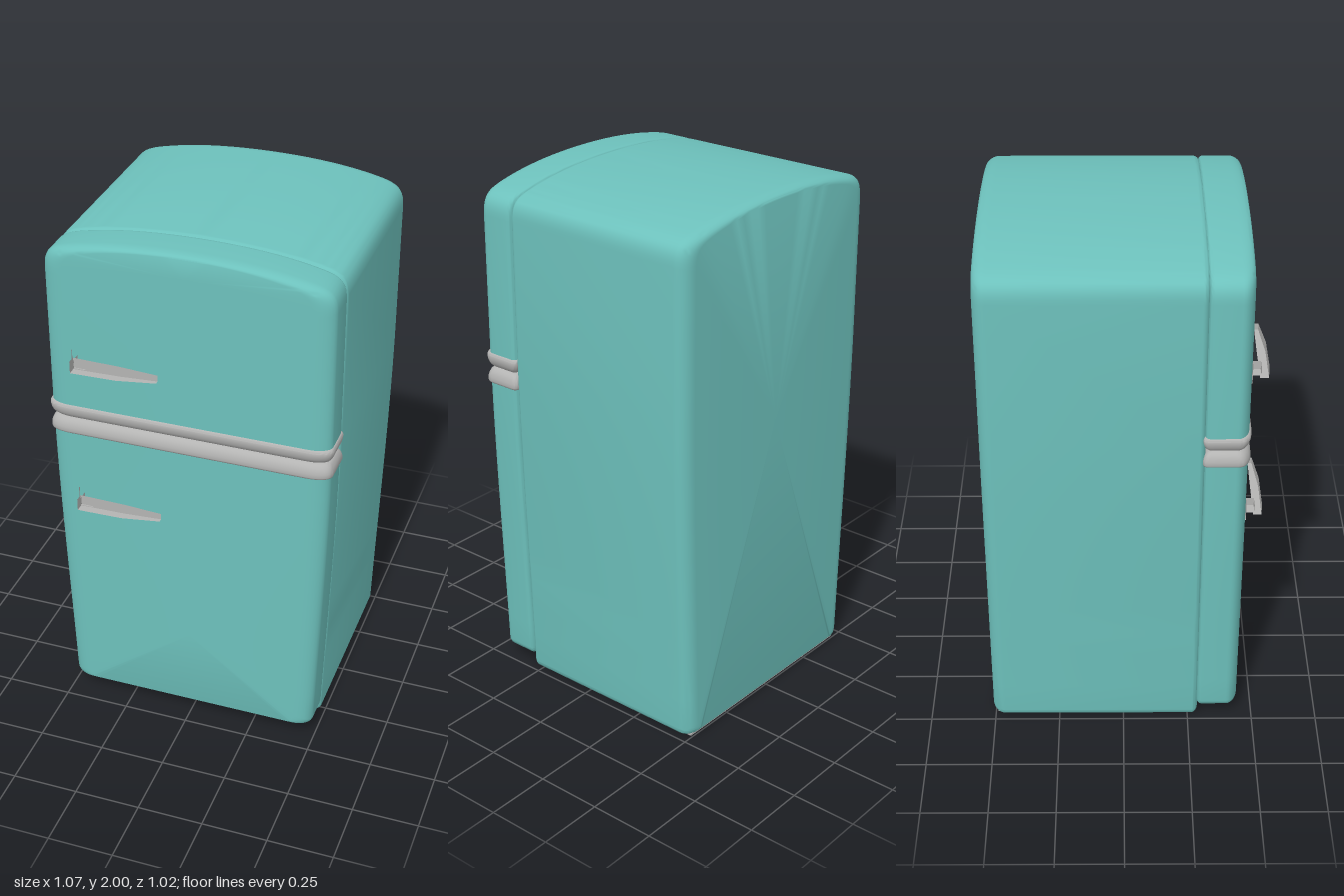
import * as THREE from 'three';
import { toCreasedNormals } from 'three/addons/utils/BufferGeometryUtils.js';

const V = (x, y, z) => new THREE.Vector3(x, y, z);

// Skins a row of equal-length rings and closes both ends with fans.
function loft(rings, crease = 0.7) {
  const n = rings[0].length, pos = [], idx = [];
  const centre = (ring) => ring.reduce((c, p) => c.add(p), V(0, 0, 0)).divideScalar(n);
  rings.forEach((ring) => ring.forEach((p) => pos.push(p.x, p.y, p.z)));
  const last = rings.length - 1;
  [rings[0], rings[last]].forEach((ring) => pos.push(...centre(ring).toArray()));
  const c0 = rings.length * n, c1 = c0 + 1;
  for (let i = 0; i < n; i++) {
    const j = (i + 1) % n;
    for (let k = 0; k < last; k++) {
      const a = k * n + i, b = k * n + j;
      idx.push(a, b, b + n, a, b + n, a + n);
    }
    idx.push(c0, j, i, c1, last * n + i, last * n + j);
  }
  const geo = new THREE.BufferGeometry();
  geo.setAttribute('position', new THREE.Float32BufferAttribute(pos, 3));
  geo.setIndex(idx);
  return toCreasedNormals(geo, crease);
}

// Mirrors the +x half of an outline, given from bottom to top.
function mirrored(shape) {
  const half = shape.getPoints(10);
  const other = half.filter((p) => p.x > 1e-4).reverse().map((p) => new THREE.Vector2(-p.x, p.y));
  return [...half, ...other];
}

// Front outline pushed back to front, with rounded edges at both ends.
// anchorY is the height that the rounding leaves in place.
function panel(shape, z0, z1, anchorY, back, front) {
  const outline = mirrored(shape), steps = 7, rings = [];
  const top = Math.max(...outline.map((p) => p.y)), bottom = Math.min(...outline.map((p) => p.y));
  const span = Math.max(top - anchorY, anchorY - bottom);
  const ring = (z, dx, dy) => rings.push(outline.map((p) =>
    V(p.x * (1 - dx / 0.525), anchorY + (p.y - anchorY) * (1 - dy / span), z)));
  for (let i = 0; i <= steps; i++) {
    const a = (i / steps) * Math.PI / 2, s = 1 - Math.sin(a);
    ring(z0 + back.z * (1 - Math.cos(a)), back.x * s, back.y * s);
  }
  for (let i = steps; i >= 0; i--) {
    const a = (i / steps) * Math.PI / 2, s = 1 - Math.sin(a);
    ring(z1 - front.z * (1 - Math.cos(a)), front.x * s, front.y * s);
  }
  return loft(rings);
}

// Shoulder and gently arched crown shared by the cabinet and upper door.
function crown(shape, w) {
  shape.lineTo(w, 1.86);
  shape.bezierCurveTo(w, 1.93, 0.5, 1.944, 0.43, 1.96);
  shape.bezierCurveTo(0.32, 1.985, 0.18, 2, 0, 2);
  return shape;
}

export function createModel() {
  const teal = new THREE.MeshStandardMaterial({ color: 0x6dc1bc });
  teal.name = 'teal enamel';
  const grey = new THREE.MeshStandardMaterial({ color: 0xb4b4b3 });
  grey.name = 'grey metal';

  const model = new THREE.Group();
  model.name = 'refrigerator';
  const add = (name, geo, mat, parent = model) => {
    const mesh = new THREE.Mesh(geo, mat);
    mesh.name = name;
    parent.add(mesh);
    return mesh;
  };

  // Cabinet, tapering towards the floor
  const cabinet = new THREE.Shape();
  cabinet.moveTo(0.455, 0.005);
  cabinet.quadraticCurveTo(0.485, 0.005, 0.487, 0.035);
  cabinet.bezierCurveTo(0.5, 0.45, 0.522, 0.9, 0.525, 1.3);
  crown(cabinet, 0.526);
  add('cabinet', panel(cabinet, -0.51, 0.288, 1, V(0.06, 0.022, 0.05), V(0.03, 0.015, 0.025)), teal);

  // Metal underside
  const base = add('underside', new THREE.BoxGeometry(0.91, 0.008, 0.765), grey);
  base.position.set(0, 0.004, -0.11);

  // Doors
  const doorBack = V(0.025, 0.012, 0.018), doorFront = V(0.075, 0.014, 0.045);
  const upper = new THREE.Shape();
  upper.moveTo(0.528, 1.3);
  crown(upper, 0.528);
  add('upperDoor', panel(upper, 0.284, 0.442, 1.3, doorBack, doorFront), teal);

  const lower = new THREE.Shape();
  lower.moveTo(0.455, 0.053);
  lower.quadraticCurveTo(0.488, 0.053, 0.491, 0.085);
  lower.bezierCurveTo(0.503, 0.45, 0.524, 0.85, 0.527, 1.24);
  add('lowerDoor', panel(lower, 0.284, 0.442, 1.24, doorBack, doorFront), teal);

  // Two metal trims that curve in towards the gap between the doors
  const plan = new THREE.Shape();
  plan.moveTo(0, 0.286);
  plan.lineTo(0.507, 0.286);
  plan.quadraticCurveTo(0.527, 0.286, 0.527, 0.304);
  plan.lineTo(0.527, 0.4);
  plan.bezierCurveTo(0.527, 0.425, 0.5, 0.442, 0.44, 0.442);
  plan.lineTo(0, 0.442);
  const trimPlan = mirrored(plan).reverse();
  const trimRing = (y, grow) => trimPlan.map((p) =>
    V(p.x * (1 + grow / 0.527), y, 0.364 + (p.y - 0.364) * (1 + grow / 0.078)));
  const profile = [[0.001, -0.016], [0.006, -0.008], [0.014, -0.001], [0.024, 0.004],
    [0.036, 0.007], [0.05, 0.008], [0.056, 0.006], [0.06, 0.001]];
  add('upperTrim', loft(profile.map(([d, g]) => trimRing(1.271 + d, g))), grey);
  add('lowerTrim', loft(profile.slice().reverse().map(([d, g]) => trimRing(1.271 - d, g))), grey);

  // Handles: flared backplate, short post and tapered lever
  const bar = (stations) => loft(stations.map(([x, h, z0, z1]) =>
    [V(x, -h, z0), V(x, h, z0), V(x, h, z1), V(x, -h, z1)].reverse()), 0.05);
  const handle = (name, y) => {
    const group = new THREE.Group();
    group.name = name;
    group.position.y = y;
    add('backplate', bar([[-0.425, 0.036, 0.436, 0.448], [-0.235, 0.05, 0.436, 0.448]]), grey, group);
    add('post', bar([[-0.405, 0.016, 0.44, 0.48], [-0.36, 0.016, 0.44, 0.48]]), grey, group);
    add('lever', bar([[-0.408, 0.023, 0.475, 0.506], [-0.235, 0.02, 0.475, 0.506],
      [-0.09, 0.012, 0.475, 0.49]]), grey, group);
    model.add(group);
  };
  handle('upperHandle', 1.53);
  handle('lowerHandle', 0.943);

  return model;
}
